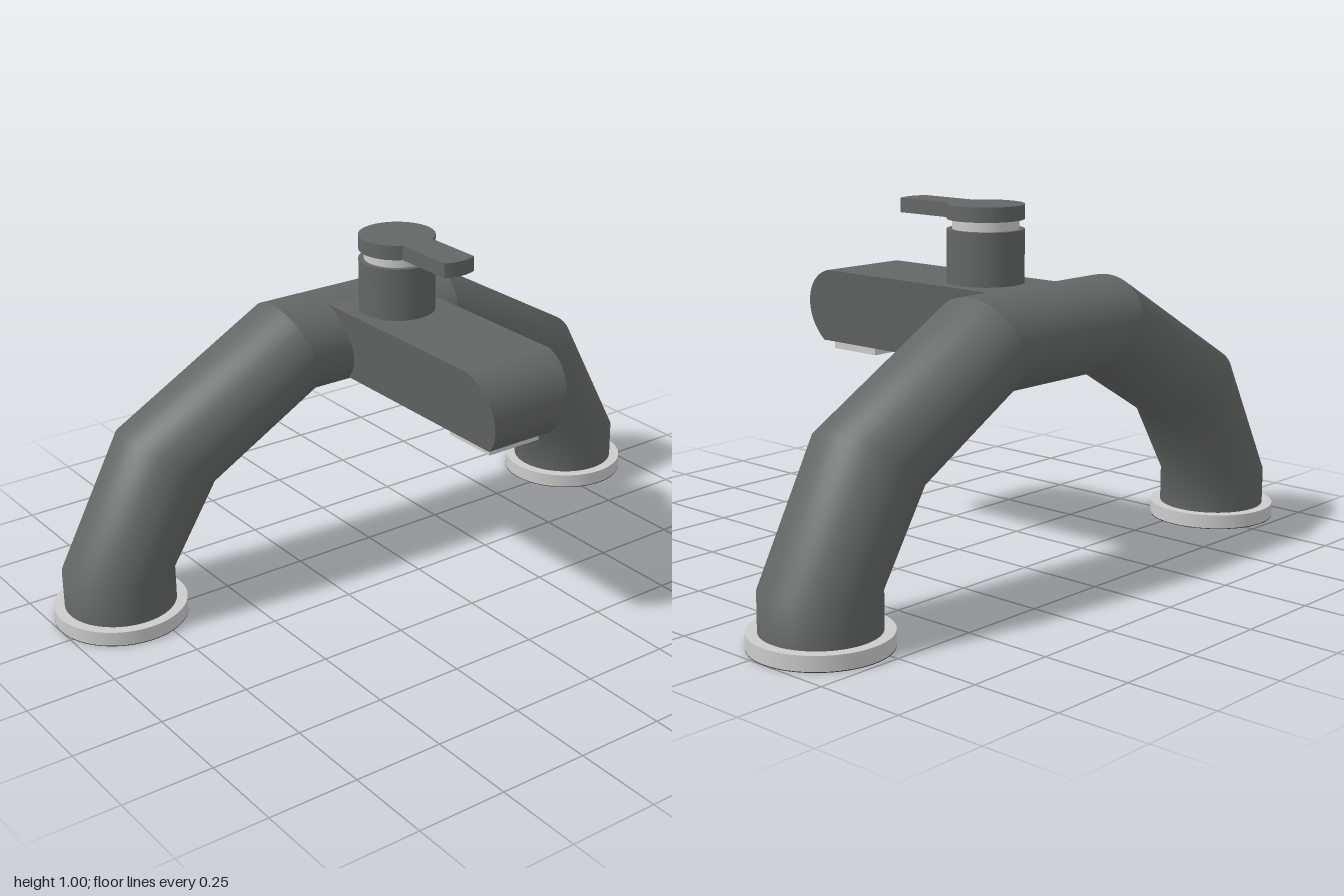
import * as THREE from 'three';
import { toCreasedNormals } from 'three/addons/utils/BufferGeometryUtils.js';

const dark = new THREE.MeshStandardMaterial({ color: 0x646665 });
const black = new THREE.MeshStandardMaterial({ color: 0x3a3a3a });
const grey = new THREE.MeshStandardMaterial({ color: 0xcccccc });
const PIPE_X = -0.3, PIPE_R = 0.155, VALVE_X = -0.1;

// Pipe through rings, each given by its outer and inner point [zOut, yOut, zIn, yIn]
function loft(rings, sides = 64) {
  const pos = [], index = [];
  for (const [zo, yo, zi, yi] of rings) {
    for (let j = 0; j < sides; j++) {
      const t = (j / sides) * Math.PI * 2, s = Math.sin(t) / 2;
      pos.push(PIPE_X + PIPE_R * Math.cos(t), (yo + yi) / 2 + (yo - yi) * s, (zo + zi) / 2 + (zo - zi) * s);
    }
  }
  for (let i = 0; i < rings.length - 1; i++) {
    for (let j = 0; j < sides; j++) {
      const k = (j + 1) % sides;
      const a = i * sides + j, b = a + sides, c = i * sides + k, d = c + sides;
      index.push(a, b, c, b, d, c);
    }
  }
  const g = new THREE.BufferGeometry();
  g.setAttribute('position', new THREE.Float32BufferAttribute(pos, 3));
  g.setIndex(index);
  g.computeVertexNormals();
  return g;
}

// Shape drawn in plan (x, -z), standing between two heights
function slab(shape, y0, y1) {
  const g = new THREE.ExtrudeGeometry(shape, { depth: y1 - y0, bevelEnabled: false, curveSegments: 32 });
  g.rotateX(-Math.PI / 2).translate(0, y0, 0);
  return toCreasedNormals(g, 0.5);
}

function cylinder(r, y0, y1, x, z = 0) {
  return new THREE.CylinderGeometry(r, r, y1 - y0, 64).translate(x, (y0 + y1) / 2, z);
}

function square(path, cx, h) {
  path.moveTo(cx - h, -h);
  path.lineTo(cx + h, -h);
  path.lineTo(cx + h, h);
  path.lineTo(cx - h, h);
  path.closePath();
  return path;
}

export function createModel() {
  const model = new THREE.Group();
  const add = (name, geometry, material = dark) => {
    const mesh = new THREE.Mesh(geometry, material);
    mesh.name = name;
    model.add(mesh);
  };

  // Arched pipe: two bent legs and a straight bridge
  const half = [
    [0.97, 0.02, 0.66, 0.02],
    [0.97, 0.145, 0.66, 0.145],
    [0.77, 0.525, 0.525, 0.35],
    [0.285, 0.798, 0.2, 0.535],
  ];
  const mirrored = half.map(([zo, yo, zi, yi]) => [-zo, yo, -zi, yi]).reverse();
  add('frontLeg', loft(half));
  add('bridge', loft([half[3], mirrored[0]]));
  add('backLeg', loft(mirrored));

  // Foot flanges with dark undersides
  for (const [side, z] of [['front', 0.815], ['back', -0.815]]) {
    add(side + 'Flange', cylinder(0.185, 0.002, 0.042, PIPE_X, z), grey);
    add(side + 'FlangeBase', cylinder(0.185, 0, 0.002, PIPE_X, z), black);
  }

  // Spout: side profile with a rounded nose, narrowing towards the underside
  const profile = new THREE.Shape();
  profile.moveTo(-0.3, 0.787);
  profile.lineTo(-0.3, 0.572);
  profile.lineTo(0.44, 0.572);
  profile.absarc(0.358, 0.665, 0.125, -0.848, 1.353, false);
  profile.closePath();
  const spout = new THREE.ExtrudeGeometry(profile, { depth: 2, bevelEnabled: false, curveSegments: 32 });
  spout.translate(0, 0, -1);
  const p = spout.attributes.position;
  for (let i = 0; i < p.count; i++) {
    p.setZ(i, p.getZ(i) * (0.105 + (0.035 * (p.getY(i) - 0.572)) / 0.215));
  }
  add('spout', toCreasedNormals(spout, 0.5));

  // Square outlet frame below the spout
  const frame = square(new THREE.Shape(), 0.335, 0.084);
  frame.holes.push(square(new THREE.Path(), 0.335, 0.053));
  add('outlet', slab(frame, 0.547, 0.574), grey);

  // Valve body and neck
  add('valveBody', cylinder(0.107, 0.7, 0.935, VALVE_X));
  add('valveNeck', cylinder(0.092, 0.93, 0.965, VALVE_X), grey);

  // Handle: round cap and lever in one outline
  const a = Math.asin(0.05 / 0.107);
  const handle = new THREE.Shape();
  handle.absarc(VALVE_X, 0, 0.107, a, Math.PI * 2 - a, false);
  handle.lineTo(0.178, -0.05);
  handle.quadraticCurveTo(0.202, 0, 0.178, 0.05);
  handle.closePath();
  add('handle', slab(handle, 0.962, 1.003));

  return model;
}
